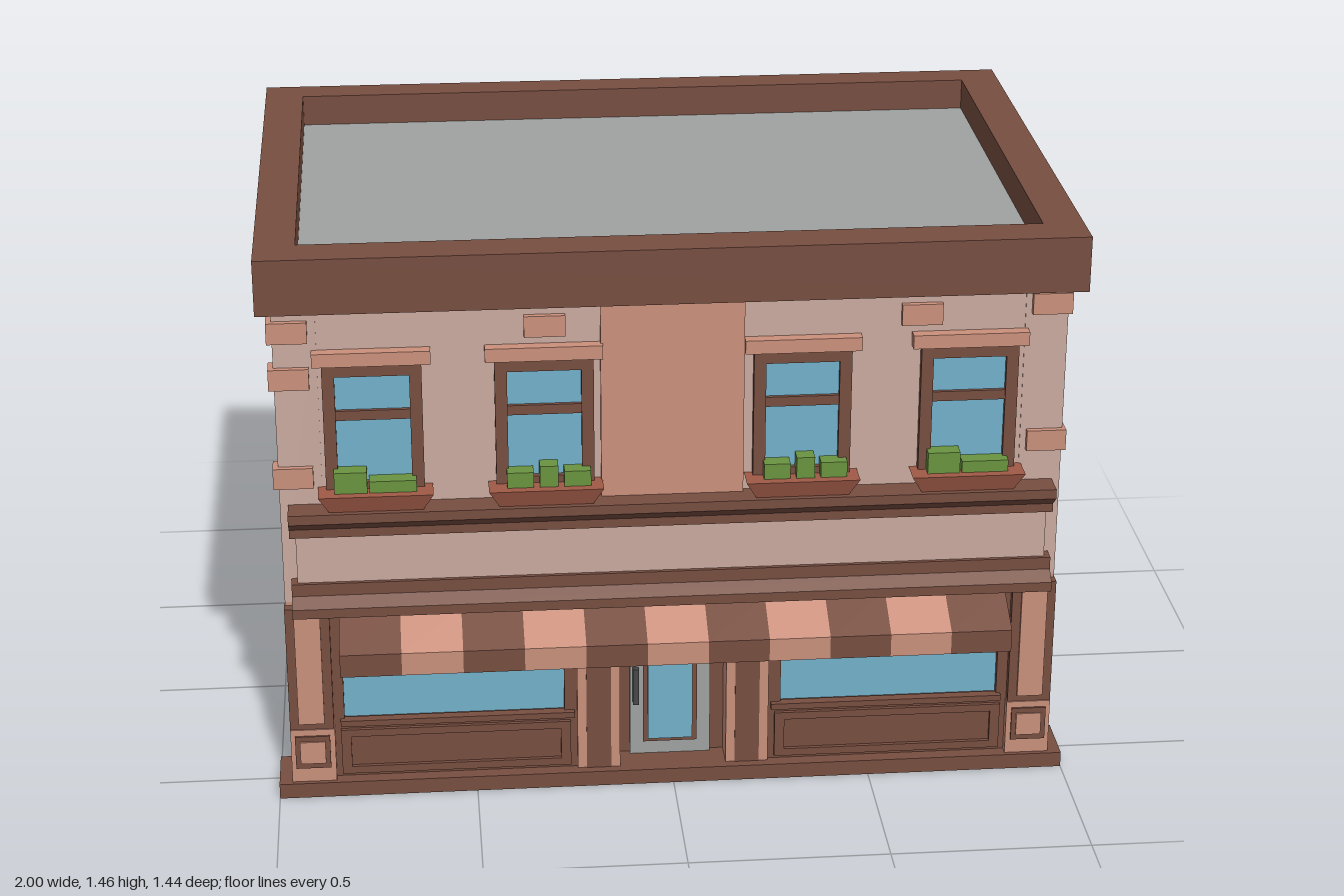
import * as THREE from 'three';

const mat = (name, color) => Object.assign(new THREE.MeshStandardMaterial({ color }), { name });

export function createModel() {
  const root = new THREE.Group();
  root.name = 'shopBuilding';
  const brown = mat('brown trim', 0x774e40);
  const beige = mat('pale plaster', 0xc9aaa0);
  const salmon = mat('salmon brick', 0xca907c);
  const blue = mat('window glass', 0x72b1ca);
  const grey = mat('roof grey', 0x9fa2a0);
  const green = mat('leaf green', 0x6a9440);
  const clay = mat('planter clay', 0xa05a46);
  const dark = mat('handle dark', 0x474747);

  const add = (name, geo, m, parent = root) => {
    const mesh = new THREE.Mesh(geo, m);
    mesh.name = name;
    parent.add(mesh);
    return mesh;
  };
  // Box given by its min and max on each axis
  const box = (name, m, x0, x1, y0, y1, z0, z1, parent = root) => {
    const g = new THREE.BoxGeometry(x1 - x0, y1 - y0, z1 - z0);
    g.translate((x0 + x1) / 2, (y0 + y1) / 2, (z0 + z1) / 2);
    return add(name, g, m, parent);
  };
  // Rectangle with rectangular hole, both [x0, x1, y0, y1], extruded along z
  const ring = (o, h, depth) => {
    const pts = ([a, b, c, d]) => [[a, c], [b, c], [b, d], [a, d]].map(p => new THREE.Vector2(...p));
    const s = new THREE.Shape(pts(o));
    s.holes.push(new THREE.Path(pts(h).reverse()));
    return new THREE.ExtrudeGeometry(s, { depth, bevelEnabled: false });
  };
  // Profile of [z, y] points swept from x0 to x1
  const sweep = (name, m, profile, x0, x1) => {
    const s = new THREE.Shape(profile.map(p => new THREE.Vector2(...p)));
    const g = new THREE.ExtrudeGeometry(s, { depth: x1 - x0, bevelEnabled: false });
    g.rotateY(-Math.PI / 2).translate(x1, 0, 0);
    return add(name, g, m);
  };

  // Walls
  box('lowerWall', salmon, -0.935, 0.935, 0.02, 0.535, -0.6, 0.5);
  box('upperWall', beige, -0.935, 0.935, 0.535, 1.33, -0.6, 0.565);
  box('backWall', brown, -0.965, 0.965, 0.02, 1.33, -0.655, -0.57);
  for (const s of [-1, 1]) {
    const [a, b] = s > 0 ? [0.86, 0.965] : [-0.965, -0.86];
    box('cornerLower', salmon, a, b, 0.02, 0.535, 0.485, 0.565);
    box('cornerUpper', beige, a, b, 0.535, 1.33, 0.485, 0.567);
  }
  box('centrePanel', salmon, -0.178, 0.172, 0.79, 1.33, 0.55, 0.58);

  // Base, wider at the four corners
  box('baseMiddle', brown, -0.955, 0.955, 0, 0.04, -0.6, 0.5);
  box('baseFront', brown, -1, 1, 0, 0.04, 0.46, 0.605);
  box('baseBack', brown, -1, 1, 0, 0.04, -0.69, -0.545);

  // Parapet and roof
  const parapet = ring([-1, 1, -0.63, 0.72], [-0.9, 0.9, -0.525, 0.63], 0.14);
  add('parapet', parapet.rotateX(-Math.PI / 2).translate(0, 1.32, 0), brown);
  box('roof', grey, -0.91, 0.91, 1.325, 1.38, -0.64, 0.535);

  // Sash window facing +z, origin at the middle of the frame bottom
  const sashWindow = (w, lintelW, sill) => {
    const g = new THREE.Group();
    g.name = 'sashWindow';
    add('frame', ring([-w / 2, w / 2, 0, 0.335], [-w / 2 + 0.03, w / 2 - 0.03, 0.028, 0.305], 0.02), brown, g);
    box('glass', blue, -w / 2 + 0.02, w / 2 - 0.02, 0.02, 0.31, 0, 0.006, g);
    box('crossbar', brown, -w / 2 + 0.02, w / 2 - 0.02, 0.19, 0.215, 0, 0.016, g);
    box('lintel', salmon, -lintelW / 2, lintelW / 2, 0.335, 0.37, -0.005, 0.03, g);
    if (sill) box('sill', salmon, -lintelW / 2, lintelW / 2, -0.035, 0, -0.005, 0.03, g);
    root.add(g);
    return g;
  };
  for (const s of [-1, 1])
    for (const y of [0.178, 0.835])
      for (const z of [0.265, -0.355]) {
        const w = sashWindow(0.29, 0.365, true);
        w.position.set(s * 0.935, y, z);
        w.rotation.y = s * Math.PI / 2;
      }

  // Front windows with planters; bushes are [x0, x1, height]
  const pair = [[-0.1, -0.02, 0.055], [-0.015, 0.1, 0.03]];
  const trio = [[-0.095, -0.03, 0.04], [-0.015, 0.03, 0.055], [0.045, 0.11, 0.04]];
  [[-0.73, pair], [-0.315, trio], [0.315, trio], [0.725, pair]].forEach(([x, bushes]) => {
    sashWindow(0.24, 0.285, false).position.set(x, 0.835, 0.565);
    const g = new THREE.BoxGeometry(0.28, 0.045, 0.075);
    const p = g.attributes.position;
    for (let i = 0; i < p.count; i++)
      if (p.getY(i) < 0) {
        p.setX(i, p.getX(i) * 0.82);
        if (p.getZ(i) > 0) p.setZ(i, 0.022);
      }
    g.computeVertexNormals();
    add('planter', g.translate(x, 0.8225, 0.5985), clay);
    for (const [a, b, h] of bushes) box('bush', green, x + a, x + b, 0.83, 0.845 + h, 0.572, 0.613);
  });

  // Sign board between two mouldings
  box('signBoard', beige, -0.93, 0.93, 0.59, 0.735, 0.55, 0.595);
  sweep('upperMoulding', brown, [[0.55, 0.725], [0.603, 0.725], [0.603, 0.748], [0.635, 0.775], [0.635, 0.8], [0.55, 0.8]], -0.945, 0.945);
  sweep('lowerMoulding', brown, [[0.49, 0.52], [0.635, 0.52], [0.635, 0.545], [0.605, 0.568], [0.605, 0.6], [0.49, 0.6]], -0.945, 0.945);

  // Striped awning
  const stripe = 1.665 / 11;
  for (let i = 0; i < 11; i++) {
    const x = -0.8325 + i * stripe;
    sweep('awningStripe', i % 2 ? salmon : brown, [[0.56, 0.4], [0.722, 0.4], [0.722, 0.46], [0.6, 0.52], [0.56, 0.52]], x, x + stripe);
  }

  // Shop front, mirrored either side of the door
  for (const s of [-1, 1]) {
    const mbox = (name, m, a, b, ...r) => box(name, m, Math.min(s * a, s * b), Math.max(s * a, s * b), ...r);
    const span = (a, b) => (s > 0 ? [a, b] : [-b, -a]);
    const front = ring([...span(0.15, 0.862), 0.03, 0.525], [...span(0.275, 0.83), 0.2, 0.5], 0.07);
    add('shopFront', front.translate(0, 0, 0.5), brown);
    mbox('shopGlass', blue, 0.27, 0.835, 0.195, 0.505, 0.545, 0.552);
    mbox('shopSill', brown, 0.25, 0.84, 0.187, 0.203, 0.56, 0.585);
    const rim = ring([...span(0.26, 0.84), 0.05, 0.175], [...span(0.285, 0.815), 0.07, 0.155], 0.012);
    add('lowerPanelRim', rim.translate(0, 0, 0.568), brown);
    mbox('doorPillar', brown, 0.158, 0.22, 0.03, 0.52, 0.5, 0.582);
    mbox('innerStrip', salmon, 0.135, 0.158, 0.03, 0.52, 0.5, 0.58);
    mbox('outerStrip', salmon, 0.22, 0.243, 0.03, 0.52, 0.56, 0.58);
    mbox('cornerPilaster', brown, 0.857, 0.967, 0.187, 0.525, 0.55, 0.59);
    mbox('pilasterPanel', salmon, 0.88, 0.945, 0.205, 0.505, 0.588, 0.597);
    mbox('pilasterFoot', salmon, 0.855, 0.967, 0.03, 0.187, 0.55, 0.593);
    mbox('footSquare', brown, 0.868, 0.956, 0.08, 0.17, 0.59, 0.598);
    mbox('footPanel', salmon, 0.88, 0.944, 0.095, 0.156, 0.595, 0.602);
  }

  // Recessed door
  box('doorSurround', brown, -0.14, 0.14, 0.03, 0.525, 0.49, 0.505);
  box('doorHeader', brown, -0.14, 0.14, 0.43, 0.525, 0.5, 0.57);
  box('door', grey, -0.105, 0.1, 0.035, 0.43, 0.5, 0.518);
  box('doorFrame', brown, -0.072, 0.066, 0.077, 0.4, 0.515, 0.524);
  box('doorGlass', blue, -0.06, 0.054, 0.087, 0.39, 0.52, 0.529);
  box('doorHandle', dark, -0.098, -0.083, 0.19, 0.29, 0.515, 0.535);

  // Quoin bricks wrapping the corners: [side, y centre]
  for (const [s, y] of [[-1, 1.255], [-1, 1.135], [-1, 0.875], [1, 1.272], [1, 0.91]])
    box('frontQuoin', salmon, s > 0 ? 0.875 : -0.978, s > 0 ? 0.973 : -0.88, y - 0.027, y + 0.027, 0.53, 0.582);
  for (const [s, y] of [[1, 1.258], [1, 0.992], [1, 0.163], [-1, 1.235], [-1, 1.095], [-1, 0.288]])
    box('backQuoin', salmon, s > 0 ? 0.875 : -0.973, s > 0 ? 0.973 : -0.875, y - 0.027, y + 0.027, -0.672, -0.622);

  // Loose bricks showing through the plaster
  for (const x of [-0.312, 0.605]) box('frontBrick', salmon, x - 0.05, x + 0.05, 1.226, 1.28, 0.56, 0.58);
  for (const [s, y, z] of [[1, 1.265, -0.27], [1, 0.72, 0.153], [1, 0.23, -0.02], [-1, 0.92, -0.08], [-1, 0.47, -0.2], [-1, 0.12, -0.08]])
    box('sideBrick', salmon, s * 0.94 - 0.01, s * 0.94 + 0.01, y - 0.028, y + 0.028, z - 0.06, z + 0.06);

  return root;
}
